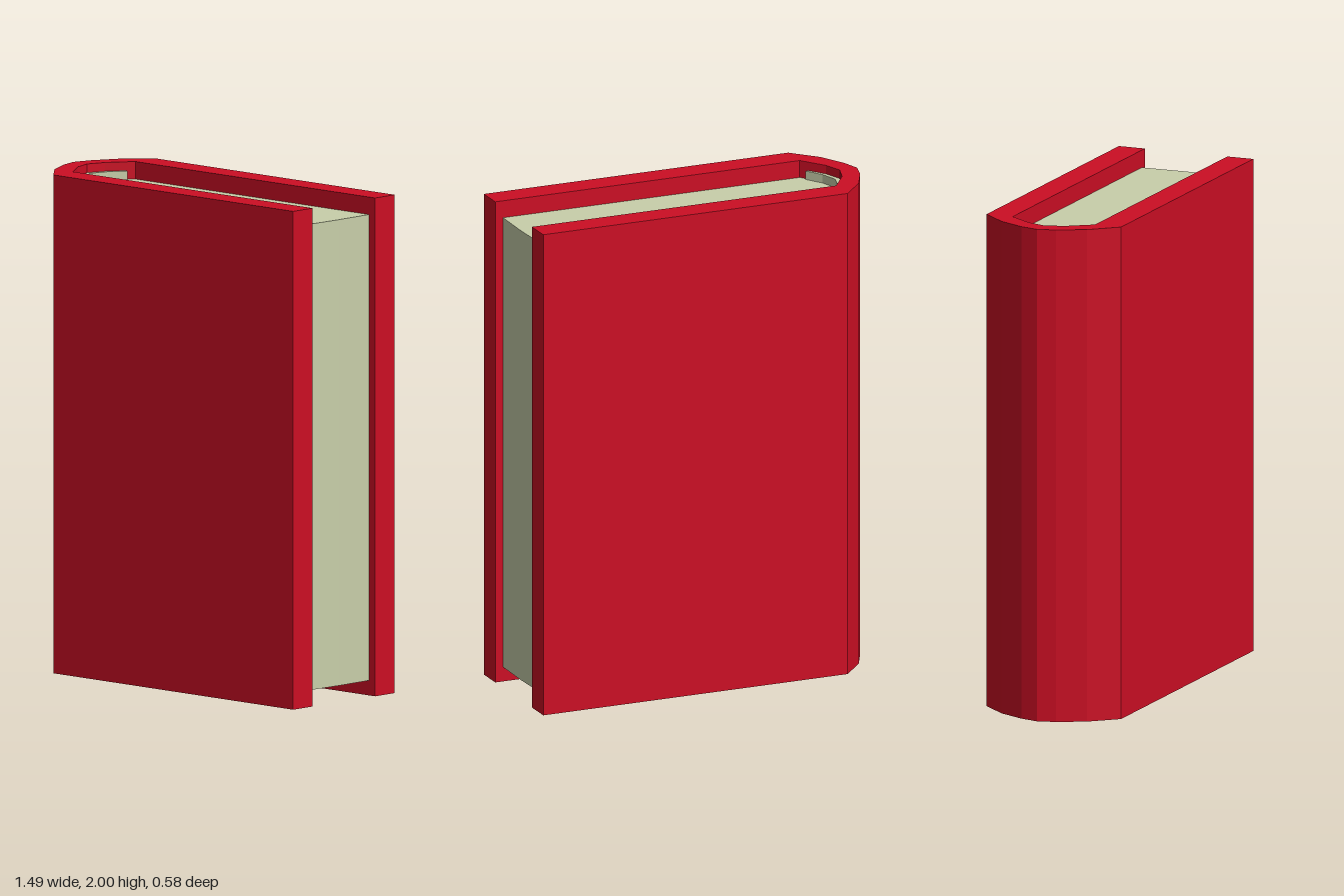
import * as THREE from 'three';

const coverRed = new THREE.MeshStandardMaterial({ color: 0xcc0e24 });
coverRed.name = 'coverRed';
const paperCream = new THREE.MeshStandardMaterial({ color: 0xc8cfaa });
paperCream.name = 'paperCream';

// half of each outline as [x, z]; the other half is mirrored across z = 0
const outerHalf = [[0.745, 0.29], [-0.575, 0.29], [-0.67, 0.185], [-0.725, 0.075], [-0.745, 0]];
const innerHalf = [[0.745, 0.178], [-0.575, 0.178], [-0.645, 0.078], [-0.67, 0]];
const pagesHalf = [[0.712, 0.177], [-0.575, 0.177], [-0.638, 0.078], [-0.655, 0]];
const linerOuter = [[-0.598, 0.144], [-0.644, 0.078], [-0.669, 0]];
const linerInner = [[-0.585, 0.144], [-0.628, 0.075], [-0.65, 0]];

// runs along one side of an outline and back along the other
function mirrored(half) {
  const back = half.slice(0, -1).reverse().map(([x, z]) => [x, -z]);
  return [...half, ...back];
}

// upright prism between two heights
function prism(name, outline, y0, y1, material) {
  const shape = new THREE.Shape(outline.map(([x, z]) => new THREE.Vector2(x, -z)));
  const geometry = new THREE.ExtrudeGeometry(shape, { depth: y1 - y0, bevelEnabled: false });
  geometry.rotateX(-Math.PI / 2);
  geometry.translate(0, y0, 0);
  const mesh = new THREE.Mesh(geometry, material);
  mesh.name = name;
  return mesh;
}

export function createModel() {
  const book = new THREE.Group();
  book.name = 'book';

  // two boards and the rounded spine in one wrap
  const wrap = [...mirrored(outerHalf), ...mirrored(innerHalf).reverse()];
  book.add(prism('cover', wrap, 0, 2, coverRed));

  // page block with a very slight ridge down the fore edge
  const pages = [[0.716, 0], ...mirrored(pagesHalf)];
  book.add(prism('pages', pages, 0.06, 1.93, paperCream));

  // thin curved lining that stands proud of the pages inside the spine
  const liner = [...mirrored(linerOuter), ...mirrored(linerInner).reverse()];
  book.add(prism('spineLining', liner, 0.03, 1.965, paperCream));

  return book;
}
